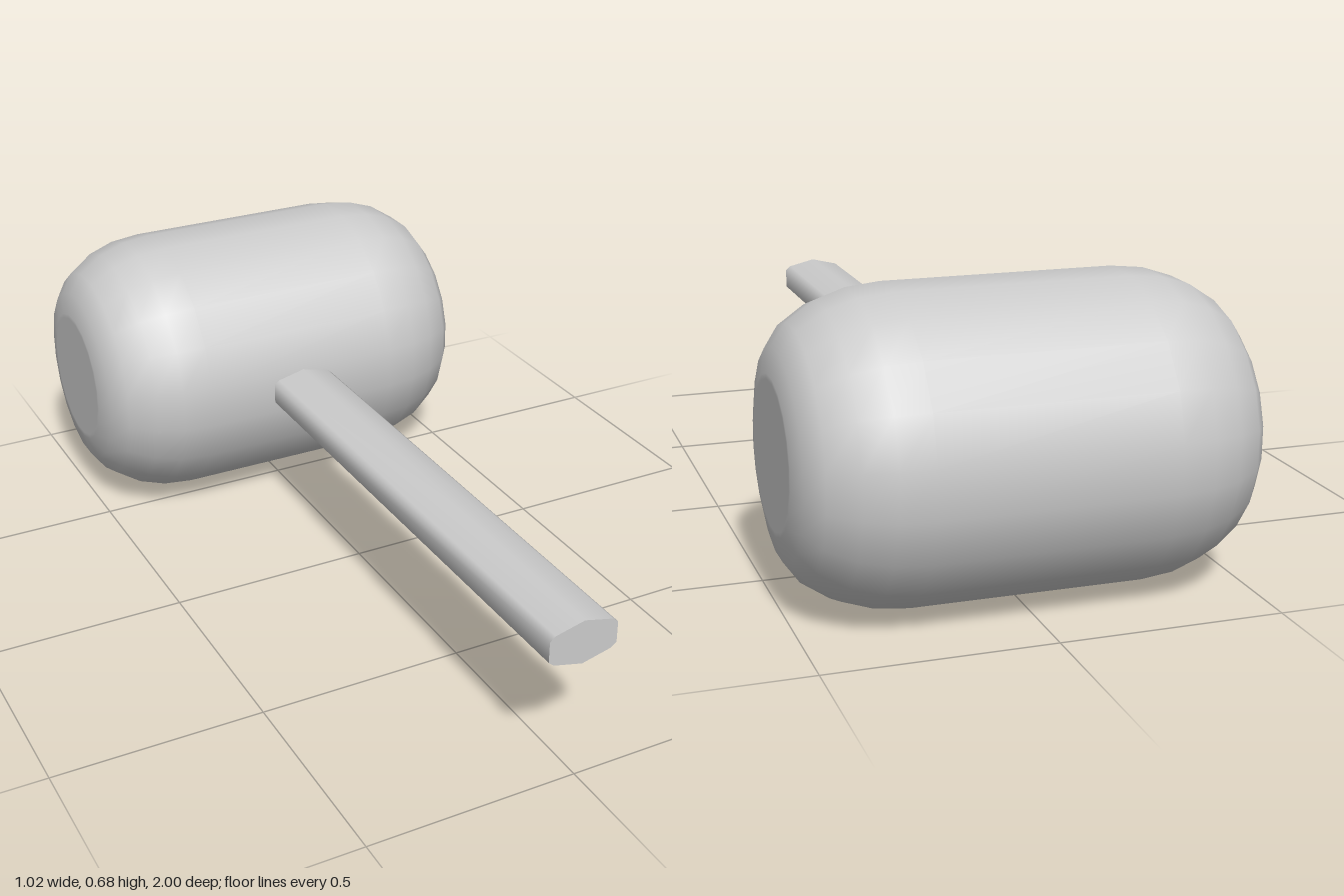
import * as THREE from 'three';
import { toCreasedNormals } from 'three/addons/utils/BufferGeometryUtils.js';

const HEAD_SIDES = 20;
const CENTRE_Y = 0.34;
const HEAD_Z = -0.66;

export function createModel() {
  const model = new THREE.Group();
  model.name = 'mallet';
  const material = new THREE.MeshStandardMaterial({ color: 0xcccccc });

  // Head: rounded barrel, half profile as [radius, distance from middle], mirrored
  const half = [
    [0.344, 0.26], [0.336, 0.336], [0.314, 0.402], [0.273, 0.464],
    [0.226, 0.498], [0.171, 0.511], [0.16, 0.511], [0, 0.511],
  ];
  const profile = [
    ...half.map(([r, d]) => new THREE.Vector2(r, -d)).reverse(),
    ...half.map(([r, d]) => new THREE.Vector2(r, d)),
  ];
  // Half-step start angle puts flats at the top, bottom, front and back
  const headGeometry = new THREE.LatheGeometry(profile, HEAD_SIDES, Math.PI / HEAD_SIDES);
  headGeometry.rotateZ(-Math.PI / 2);
  const head = new THREE.Mesh(headGeometry, material);
  head.name = 'head';
  head.position.set(0, CENTRE_Y, HEAD_Z);
  model.add(head);

  // Handle: flattened hexagon with chamfered side corners, sunk into the head
  const section = new THREE.Shape([
    [0, 0.053], [-0.07, 0.036], [-0.083, 0.025], [-0.083, -0.025], [-0.07, -0.036],
    [0, -0.053], [0.07, -0.036], [0.083, -0.025], [0.083, 0.025], [0.07, 0.036],
  ].map(([x, y]) => new THREE.Vector2(x, y)));
  const handleGeometry = new THREE.ExtrudeGeometry(section, { depth: 1.5, bevelEnabled: false });
  const handle = new THREE.Mesh(toCreasedNormals(handleGeometry, 0.9), material);
  handle.name = 'handle';
  handle.position.set(0, CENTRE_Y, -0.5);
  model.add(handle);

  return model;
}
